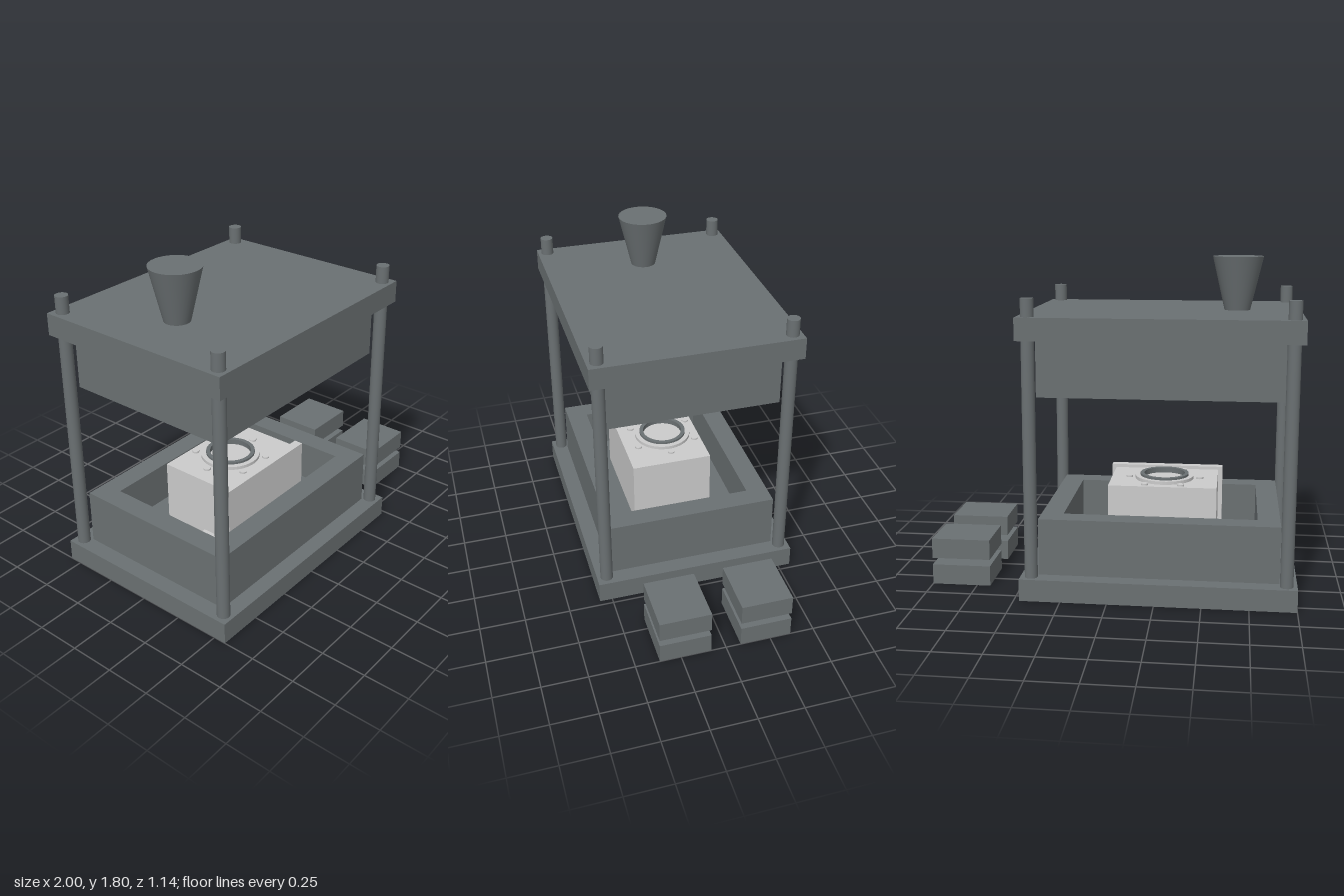
import * as THREE from 'three';

const steel = new THREE.MeshStandardMaterial({ color: 0x6a7072 });
const light = new THREE.MeshStandardMaterial({ color: 0xcccccc });

export function createModel() {
  const model = new THREE.Group();
  const CX = -0.265; // press centre line

  function add(name, geometry, material, x, y, z) {
    const mesh = new THREE.Mesh(geometry, material);
    mesh.name = name;
    mesh.position.set(x, y, z);
    model.add(mesh);
    return mesh;
  }

  // Box given by its lower and upper corners
  function box(name, material, [x0, y0, z0], [x1, y1, z1]) {
    return add(name, new THREE.BoxGeometry(x1 - x0, y1 - y0, z1 - z0), material,
      (x0 + x1) / 2, (y0 + y1) / 2, (z0 + z1) / 2);
  }

  // Rectangular wall frame around a pocket, extruded upwards
  function frame(name, y0, y1) {
    const rect = (Type, w, d) => new Type([
      new THREE.Vector2(-w, -d), new THREE.Vector2(w, -d),
      new THREE.Vector2(w, d), new THREE.Vector2(-w, d),
    ]);
    const shape = rect(THREE.Shape, 0.643, 0.48);
    shape.holes.push(rect(THREE.Path, 0.523, 0.36));
    const geometry = new THREE.ExtrudeGeometry(shape, { depth: y1 - y0, bevelEnabled: false });
    geometry.rotateX(-Math.PI / 2);
    add(name, geometry, steel, CX, y0, 0);
  }

  // Base and top plates
  box('basePlate', steel, [-1, 0, -0.57], [0.47, 0.12, 0.57]);
  box('topPlate', steel, [-1, 1.395, -0.57], [0.47, 1.515, 0.57]);

  // Die halves with open pockets
  frame('lowerDie', 0.12, 0.43);
  box('lowerDieFloor', steel, [-0.8, 0.12, -0.37], [0.27, 0.2, 0.37]);
  frame('upperDie', 1.09, 1.395);

  // Guide columns
  for (const x of [-0.943, 0.411]) {
    for (const z of [-0.515, 0.515]) {
      add('guideColumn', new THREE.CylinderGeometry(0.035, 0.035, 1.49, 32), steel, x, 0.865, z);
    }
  }

  // Pouring hopper
  add('hopper', new THREE.CylinderGeometry(0.138, 0.07, 0.29, 32), steel, -0.655, 1.66, 0);

  // Cast housing with end flange and foot
  box('housing', light, [-0.565, 0.2, -0.21], [0.035, 0.555, 0.21]);
  box('housingFlange', light, [-0.59, 0.2, 0.21], [0.06, 0.573, 0.26]);
  box('housingFoot', light, [-0.62, 0.2, 0.06], [0.09, 0.235, 0.21]);

  // Round mounting ring and the dark bore liner
  function ring(name, material, inner, outer, y0, y1) {
    const profile = [[inner, y0], [outer, y0], [outer, y1], [inner, y1], [inner, y0]];
    const points = profile.map(([r, y]) => new THREE.Vector2(r, y));
    const geometry = new THREE.LatheGeometry(points, 48).toNonIndexed();
    geometry.computeVertexNormals();
    add(name, geometry, material, CX, 0, 0);
  }
  ring('mountingRing', light, 0.13, 0.165, 0.55, 0.573);
  ring('boreLiner', steel, 0.115, 0.137, 0.55, 0.585);

  // Bolts around the ring
  for (let i = 0; i < 6; i++) {
    const a = i * Math.PI / 3;
    add('bolt', new THREE.CylinderGeometry(0.02, 0.02, 0.02, 16), light,
      CX + 0.2 * Math.cos(a), 0.555, 0.2 * Math.sin(a));
  }

  // Two stacks of ingots beside the press
  for (const z of [-0.225, 0.225]) {
    for (const y of [0, 0.15]) {
      box('ingot', steel, [0.675, y, z - 0.142], [1, y + 0.112, z + 0.142]);
    }
  }

  return model;
}
